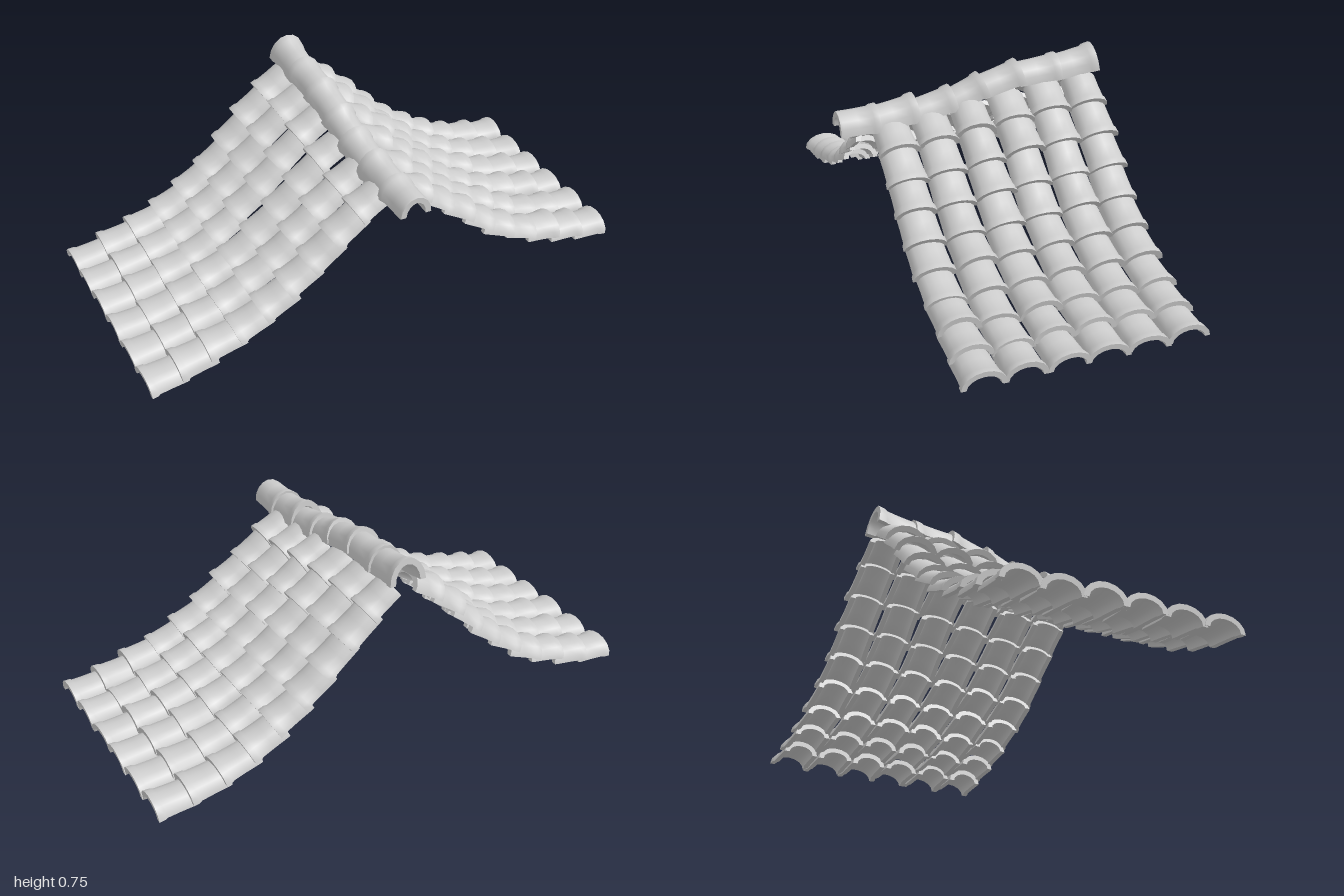
import * as THREE from 'three';
import { toCreasedNormals } from 'three/addons/utils/BufferGeometryUtils.js';

const material = new THREE.MeshStandardMaterial({ color: 0xcccccc });

// Small seeded jitter in the range -1..1
let seed = 7;
const jitter = () => {
  seed = (seed * 16807) % 2147483647;
  return (seed / 2147483647) * 2 - 1;
};

// Arched clay tile with thickness: unit length along z, lip at z = 1
function tileGeometry(halfWidth, height, thick) {
  const n = 8, ring = 2 * (n + 1);
  // [position along tile, scale of the arch]
  const stations = [[0, 0.9], [0.06, 0.92], [0.45, 0.93], [0.78, 0.96], [0.84, 1.03], [1, 1.06]];
  const pos = [], idx = [];
  const quad = (a, b, c, d) => idx.push(a, b, c, a, c, d);
  for (const [z, s] of stations) {
    for (let i = 0; i < ring; i++) {
      const outer = i <= n;
      const a = Math.PI * (outer ? i : ring - 1 - i) / n;
      const w = halfWidth * s - (outer ? 0 : thick);
      const h = height * s - (outer ? 0 : thick);
      pos.push(w * Math.cos(a), h * Math.sin(a), z);
    }
  }
  const last = (stations.length - 1) * ring;
  for (let b = 0; b < last; b += ring) {
    for (let i = 0; i < ring; i++) {
      const j = (i + 1) % ring;
      quad(b + i, b + j, b + ring + j, b + ring + i);
    }
  }
  // End faces between outer and inner arch
  for (let i = 0; i < n; i++) {
    const k = ring - 1 - i;
    quad(last + i, last + i + 1, last + k - 1, last + k);
    quad(k, k - 1, i + 1, i);
  }
  const g = new THREE.BufferGeometry();
  g.setAttribute('position', new THREE.Float32BufferAttribute(pos, 3));
  g.setIndex(idx);
  return toCreasedNormals(g, 0.65);
}

// Lay a tile from its head to its lip end
function layTile(parent, geometry, name, head, tail, upHint) {
  const along = tail.clone().sub(head);
  const length = along.length();
  along.normalize();
  const across = upHint.clone().cross(along).normalize();
  const up = along.clone().cross(across);
  const tile = new THREE.Mesh(geometry, material);
  tile.name = name;
  tile.quaternion.setFromRotationMatrix(new THREE.Matrix4().makeBasis(across, up, along));
  tile.rotateZ(jitter() * 0.06);
  tile.rotateY(jitter() * 0.03);
  tile.position.copy(head);
  tile.scale.set(1 + jitter() * 0.03, 1 + jitter() * 0.1, length);
  parent.add(tile);
}

// Sagging slope under one column; the top climbs towards the back
function slopeCurve(z) {
  const rise = 0.09 * (1 - THREE.MathUtils.smoothstep(z, -0.4, 0.35));
  const profile = [[0.03, 0.54], [0.1, 0.49], [0.2, 0.405], [0.4, 0.235], [0.6, 0.12], [0.8, 0.05], [0.985, 0.005]];
  return new THREE.CatmullRomCurve3(profile.map(([x, y]) =>
    new THREE.Vector3(x, y + rise * Math.max(0, 1 - x / 0.55), z)));
}

export function createModel() {
  const model = new THREE.Group();
  model.name = 'tiledRoof';

  // Two slopes, six columns each, nine overlapping tiles per column
  const roofTile = tileGeometry(0.078, 0.058, 0.02);
  const columns = 6, rows = 9;
  for (const side of [1, -1]) {
    const slope = new THREE.Group();
    slope.name = side > 0 ? 'leftSlope' : 'rightSlope';
    for (let c = 0; c < columns; c++) {
      const column = new THREE.Group();
      column.name = 'tileColumn';
      const curve = slopeCurve(-0.435 + c * 0.152);
      for (let r = 0; r < rows; r++) {
        const u0 = Math.max(0, r / rows - 0.02), u1 = (r + 1) / rows;
        const t = curve.getTangentAt((u0 + u1) / 2);
        const normal = new THREE.Vector3(-t.y, t.x, 0);
        const head = curve.getPointAt(u0).addScaledVector(normal, -0.004);
        const tail = curve.getPointAt(u1).addScaledVector(normal, 0.018 + jitter() * 0.006);
        for (const v of [head, tail, normal]) v.x *= side;
        layTile(column, roofTile, 'roofTile', head, tail, normal);
      }
      slope.add(column);
    }
    model.add(slope);
  }

  // Ridge caps climbing from front to back
  const ridgeTile = tileGeometry(0.067, 0.085, 0.022);
  const ridge = new THREE.Group();
  ridge.name = 'ridge';
  const path = [[0.52, 0.55], [0.37, 0.54], [0.215, 0.55], [0.065, 0.575], [-0.06, 0.615], [-0.205, 0.645], [-0.355, 0.645], [-0.51, 0.66]];
  const up = new THREE.Vector3(0, 1, 0);
  for (let i = 0; i < path.length - 1; i++) {
    const [z0, y0] = path[i], [z1, y1] = path[i + 1];
    const head = new THREE.Vector3(jitter() * 0.004, y0, z0 + (i ? 0.02 : 0));
    const tail = new THREE.Vector3(jitter() * 0.004, y1 + 0.01, z1);
    layTile(ridge, ridgeTile, 'ridgeTile', head, tail, up);
  }
  model.add(ridge);
  return model;
}
